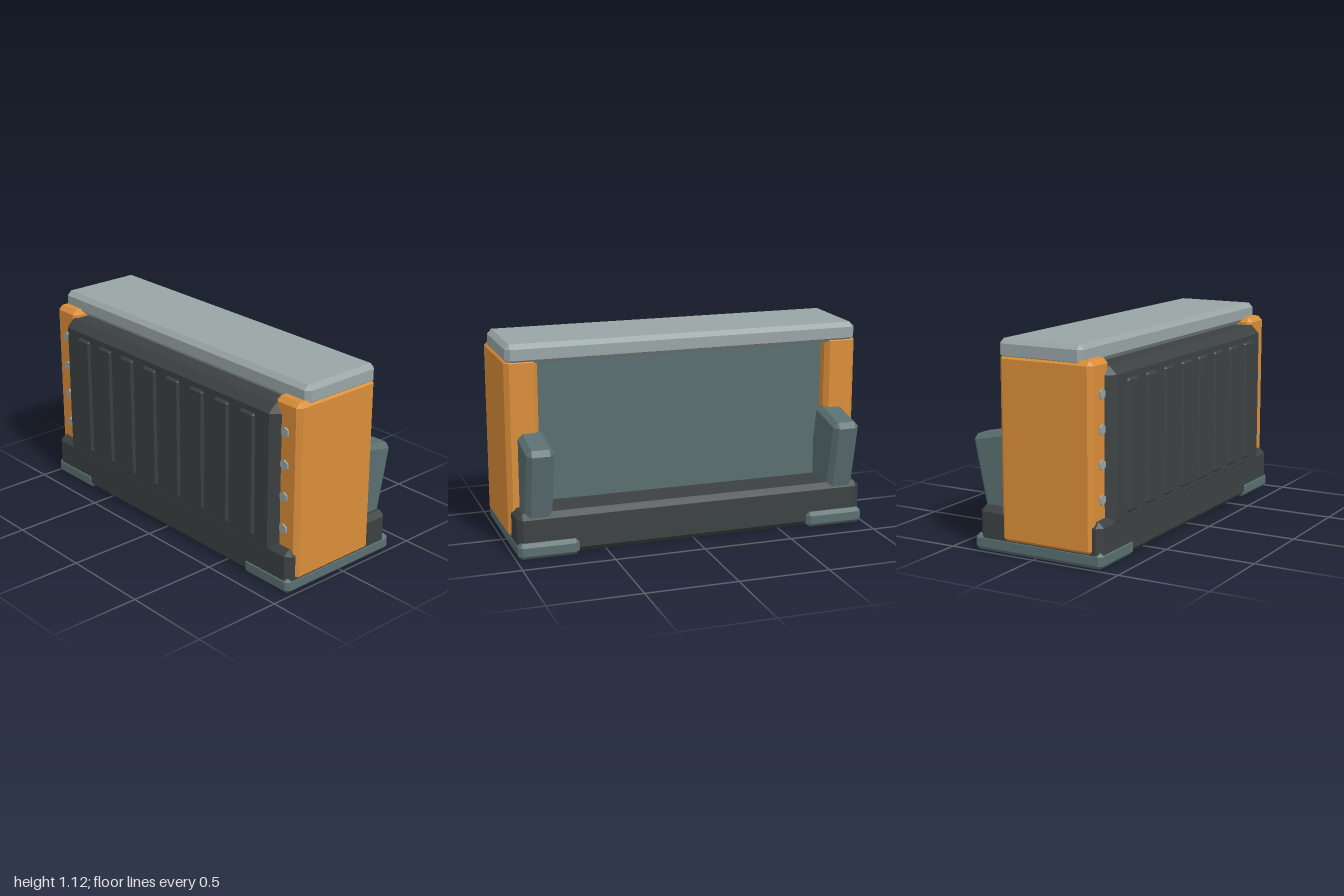
import * as THREE from 'three';
import { ConvexGeometry } from 'three/addons/geometries/ConvexGeometry.js';

const paint = (name, color) => {
  const m = new THREE.MeshStandardMaterial({ color });
  m.name = name;
  return m;
};

// Box with flat chamfers on every edge, centred on the origin
function chamferBox(w, h, d, c) {
  const [x, y, z] = [w / 2, h / 2, d / 2];
  const points = [];
  for (const i of [-1, 1]) for (const j of [-1, 1]) for (const k of [-1, 1]) {
    points.push(
      new THREE.Vector3(i * x, j * (y - c), k * (z - c)),
      new THREE.Vector3(i * (x - c), j * y, k * (z - c)),
      new THREE.Vector3(i * (x - c), j * (y - c), k * z));
  }
  return new ConvexGeometry(points);
}

// Flat-faced hexagonal bolt head pointing along z
function hexBolt(radius, length) {
  const geometry = new THREE.CylinderGeometry(radius, radius, length, 6).toNonIndexed();
  geometry.rotateX(Math.PI / 2);
  geometry.computeVertexNormals();
  return geometry;
}

export function createModel() {
  const orange = paint('orange paint', 0xda8e39);
  const grey = paint('light grey metal', 0x99a5a5);
  const dark = paint('charcoal metal', 0x3c4142);
  const slate = paint('slate metal', 0x5a6e70);
  const group = new THREE.Group();

  const add = (name, geometry, material, x, y, z) => {
    const mesh = new THREE.Mesh(geometry, material);
    mesh.name = name;
    mesh.position.set(x, y, z);
    group.add(mesh);
    return mesh;
  };
  // Chamfered block given by its minimum and maximum on each axis
  const block = (name, material, [x0, x1], [y0, y1], [z0, z1], c) =>
    add(name, chamferBox(x1 - x0, y1 - y0, z1 - z0, c), material,
      (x0 + x1) / 2, (y0 + y1) / 2, (z0 + z1) / 2);

  // Body: base, inner wall, armoured front and top slab
  block('base', dark, [-0.985, 0.985], [0.003, 0.24], [-0.343, 0.393], 0.03);
  block('innerWall', slate, [-0.86, 0.86], [0.15, 1.04], [-0.12, 0.25], 0.01);
  block('frontPanel', dark, [-0.877, 0.877], [0.17, 1.005], [0.2, 0.397], 0.045);
  block('topSlab', grey, [-0.993, 0.993], [1.01, 1.12], [-0.2, 0.292], 0.025);

  // Raised ribs on the front panel
  for (let i = 0; i < 8; i++) {
    const x = (i - 3.5) * 0.194;
    block('panelRib', dark, [x - 0.055, x + 0.055], [0.24, 0.93], [0.38, 0.41], 0.012);
  }

  const boltGeometry = hexBolt(0.028, 0.03);

  for (const s of [-1, 1]) {
    const span = (a, b) => (s > 0 ? [a, b] : [-b, -a]);
    block('sidePillar', orange, span(0.82, 1), [0.065, 1.045], [-0.194, 0.352], 0.025);
    block('foot', slate, span(0.655, 0.988), [0, 0.087], [-0.37, 0.398], 0.02);

    // Tilted brace behind each pillar
    const brace = add('rearBrace', chamferBox(0.15, 0.58, 0.285, 0.027), slate,
      s * 0.865, 0.34, -0.215);
    brace.rotation.x = -0.207;

    // Hexagonal bolts down the pillar front
    for (let i = 0; i < 4; i++) {
      add('bolt', boltGeometry, grey, s * 0.905, 0.34 + i * 0.178, 0.346);
    }
  }
  return group;
}
